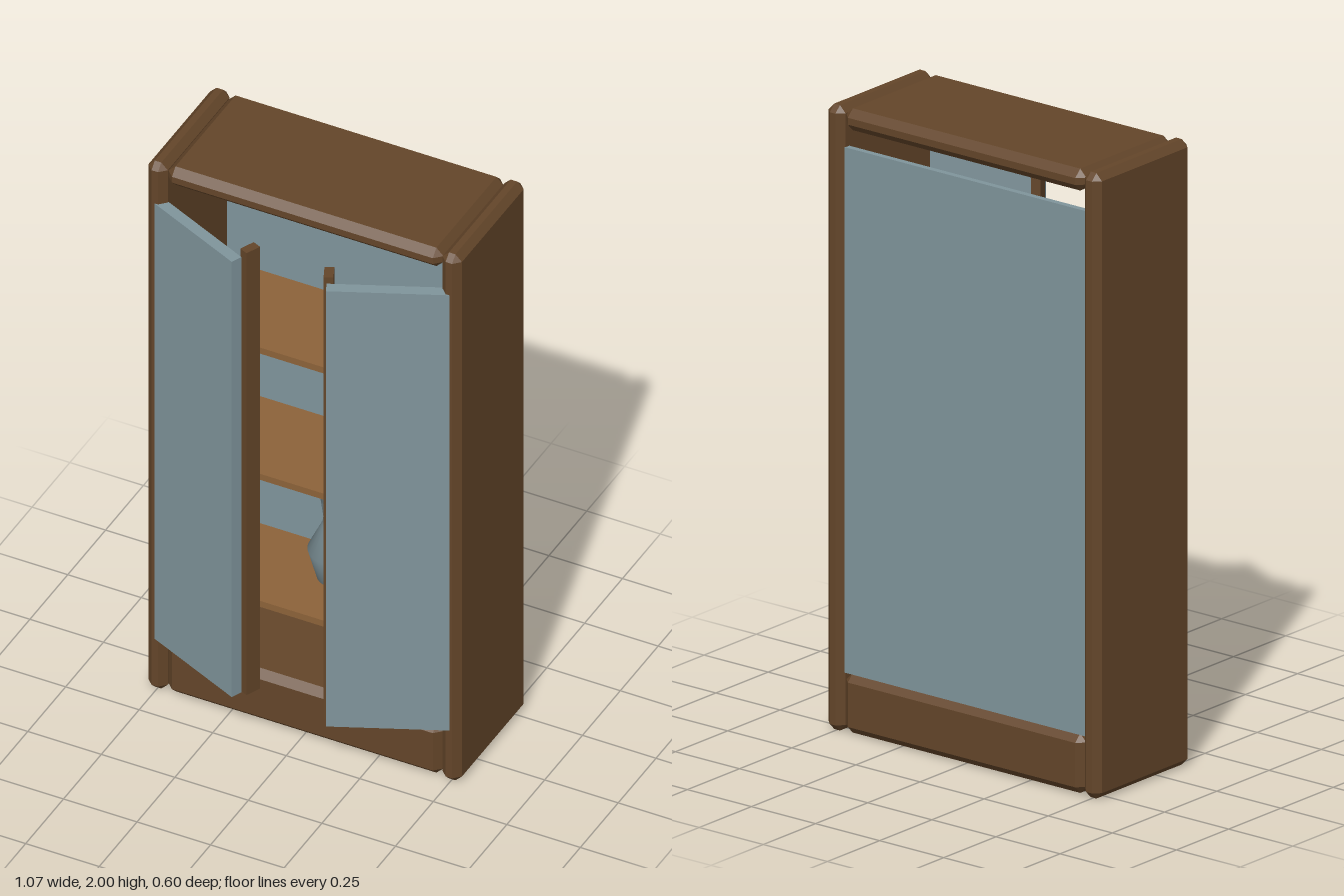
import * as THREE from 'three';
import { ConvexGeometry } from 'three/addons/geometries/ConvexGeometry.js';

const wood = new THREE.MeshStandardMaterial({ color: 0x634529 });
const shelfWood = new THREE.MeshStandardMaterial({ color: 0x8c6239 });
const glass = new THREE.MeshStandardMaterial({ color: 0x7f949b });
const pottery = new THREE.MeshStandardMaterial({ color: 0x74878d, side: THREE.DoubleSide });

// Box with every edge cut by a flat chamfer c
function chamferBox(w, h, d, c) {
  const half = [w / 2, h / 2, d / 2];
  const points = [];
  for (const sx of [-1, 1]) for (const sy of [-1, 1]) for (const sz of [-1, 1]) {
    for (let axis = 0; axis < 3; axis++) {
      const p = half.map((v, i) => (i === axis ? v : v - c));
      points.push(new THREE.Vector3(sx * p[0], sy * p[1], sz * p[2]));
    }
  }
  return new ConvexGeometry(points);
}

export function createModel() {
  const group = new THREE.Group();
  const add = (name, geometry, material, x, y, z, turn = 0) => {
    const mesh = new THREE.Mesh(geometry, material);
    mesh.name = name;
    mesh.position.set(x, y, z);
    mesh.rotation.y = turn;
    group.add(mesh);
  };

  // Carcass: plinth, top board and back panel
  add('plinth', chamferBox(0.935, 0.19, 0.445, 0.024), wood, 0, 0.097, -0.079);
  add('topBoard', chamferBox(0.935, 0.07, 0.445, 0.024), wood, 0, 1.963, -0.079);
  add('backPanel', new THREE.BoxGeometry(0.94, 1.68, 0.02), glass, 0, 1.03, -0.275);

  // Side panels and half-open doors with their edge strips, mirrored
  const doorTurn = 0.42;
  for (const s of [-1, 1]) {
    const side = s < 0 ? 'right' : 'left';
    add(side + 'SidePanel', chamferBox(0.066, 2, 0.452, 0.022), wood, s * 0.5, 1, -0.079);
    add(side + 'Door', new THREE.BoxGeometry(0.378, 1.655, 0.038), glass,
      s * 0.325, 1.028, 0.205, s * doorTurn);
    add(side + 'DoorStrip', new THREE.BoxGeometry(0.03, 1.68, 0.052), wood,
      s * 0.134, 1.03, 0.228, s * doorTurn);
  }

  // Shelves
  for (const y of [0.4, 0.883, 1.363]) {
    add('shelf', new THREE.BoxGeometry(0.94, 0.023, 0.345), shelfWood, 0, y, -0.093);
  }

  // Vase standing on the lowest shelf
  const profile = [[0, 0.43], [0.035, 0.435], [0.064, 0.455], [0.092, 0.56],
    [0.047, 0.655], [0.043, 0.68], [0.052, 0.748]].map(([r, y]) => new THREE.Vector2(r, y));
  add('vase', new THREE.LatheGeometry(profile, 24), pottery, 0, 0, -0.09);

  return group;
}
